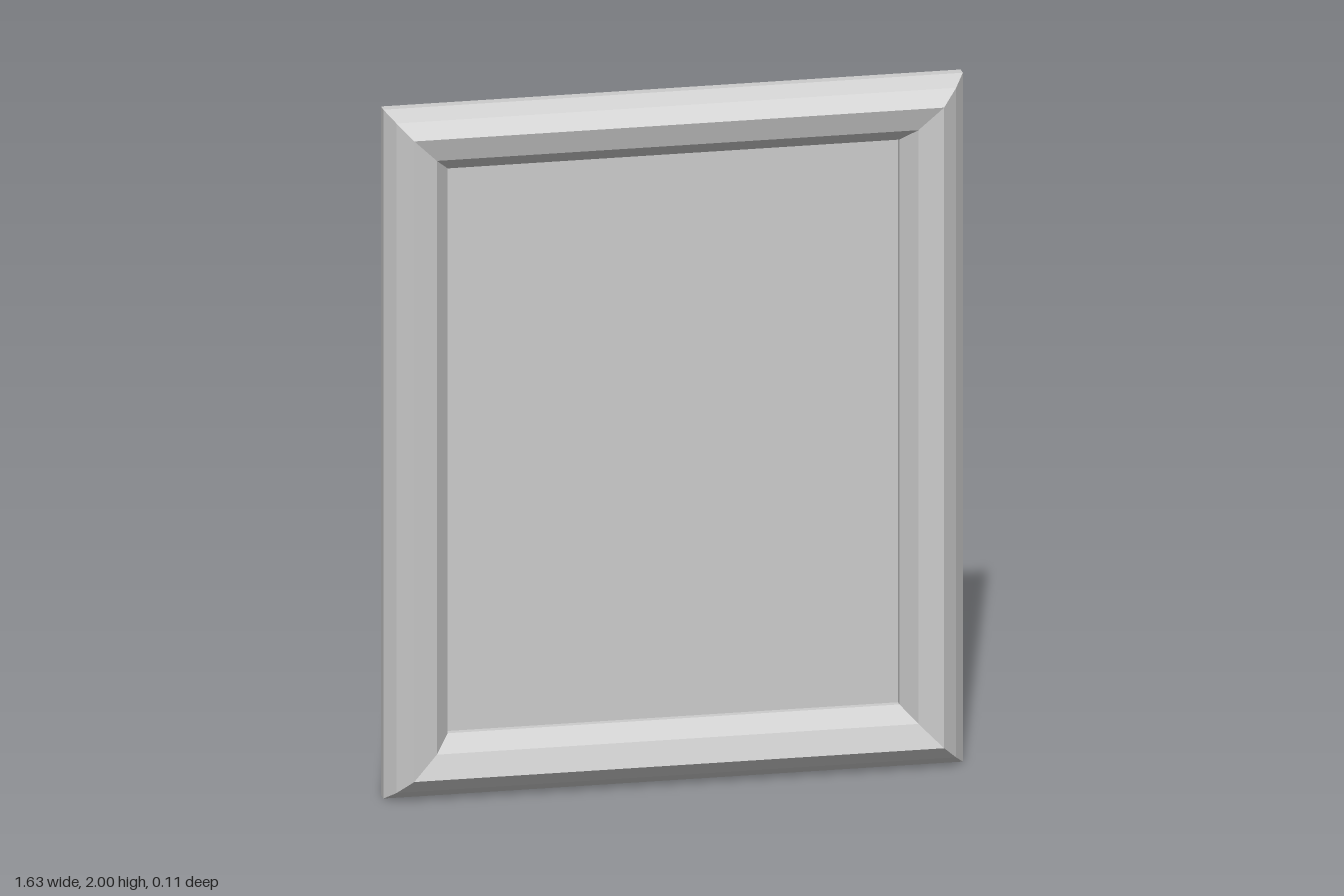
import * as THREE from 'three';

const HALF_W = 0.817, HALF_H = 1, BACK = -0.057;

// Moulding cross-section: [inset from the outer edge, z], from back edge over the ridge to the opening
const PROFILE = [
  [0, BACK], [0, -0.027], [0.028, 0.017], [0.07, 0.057],
  [0.138, 0.035], [0.18, -0.02], [0.18, BACK],
];

// Corner signs, counter-clockwise from the front
const CORNERS = [[-1, -1], [1, -1], [1, 1], [-1, 1]];

// One mitred rail running from one corner to the next
function railGeometry(side) {
  const at = (corner, [inset, z]) => {
    const [sx, sy] = CORNERS[corner % 4];
    return [sx * (HALF_W - inset), sy * (HALF_H - inset), z];
  };
  const positions = [];
  PROFILE.forEach((p, i) => {
    const q = PROFILE[(i + 1) % PROFILE.length];
    const a = at(side, p), b = at(side + 1, p), c = at(side + 1, q), d = at(side, q);
    positions.push(...a, ...b, ...c, ...a, ...c, ...d);
  });
  const geometry = new THREE.BufferGeometry();
  geometry.setAttribute('position', new THREE.Float32BufferAttribute(positions, 3));
  geometry.computeVertexNormals();
  return geometry;
}

export function createModel() {
  const model = new THREE.Group();
  model.name = 'pictureFrame';
  const material = new THREE.MeshStandardMaterial({ color: 0xcccccc, flatShading: true });

  // Four mitred rails
  ['bottomRail', 'leftRail', 'topRail', 'rightRail'].forEach((name, side) => {
    const rail = new THREE.Mesh(railGeometry(side), material);
    rail.name = name;
    model.add(rail);
  });

  // Backing panel, recessed in the opening and flush with the back
  const depth = 0.017, inset = 0.18;
  const panel = new THREE.Mesh(
    new THREE.BoxGeometry(2 * (HALF_W - inset), 2 * (HALF_H - inset), depth), material);
  panel.name = 'backingPanel';
  panel.position.z = BACK + depth / 2;
  model.add(panel);

  // Stand on the ground
  model.children.forEach((part) => { part.position.y += HALF_H; });
  return model;
}
